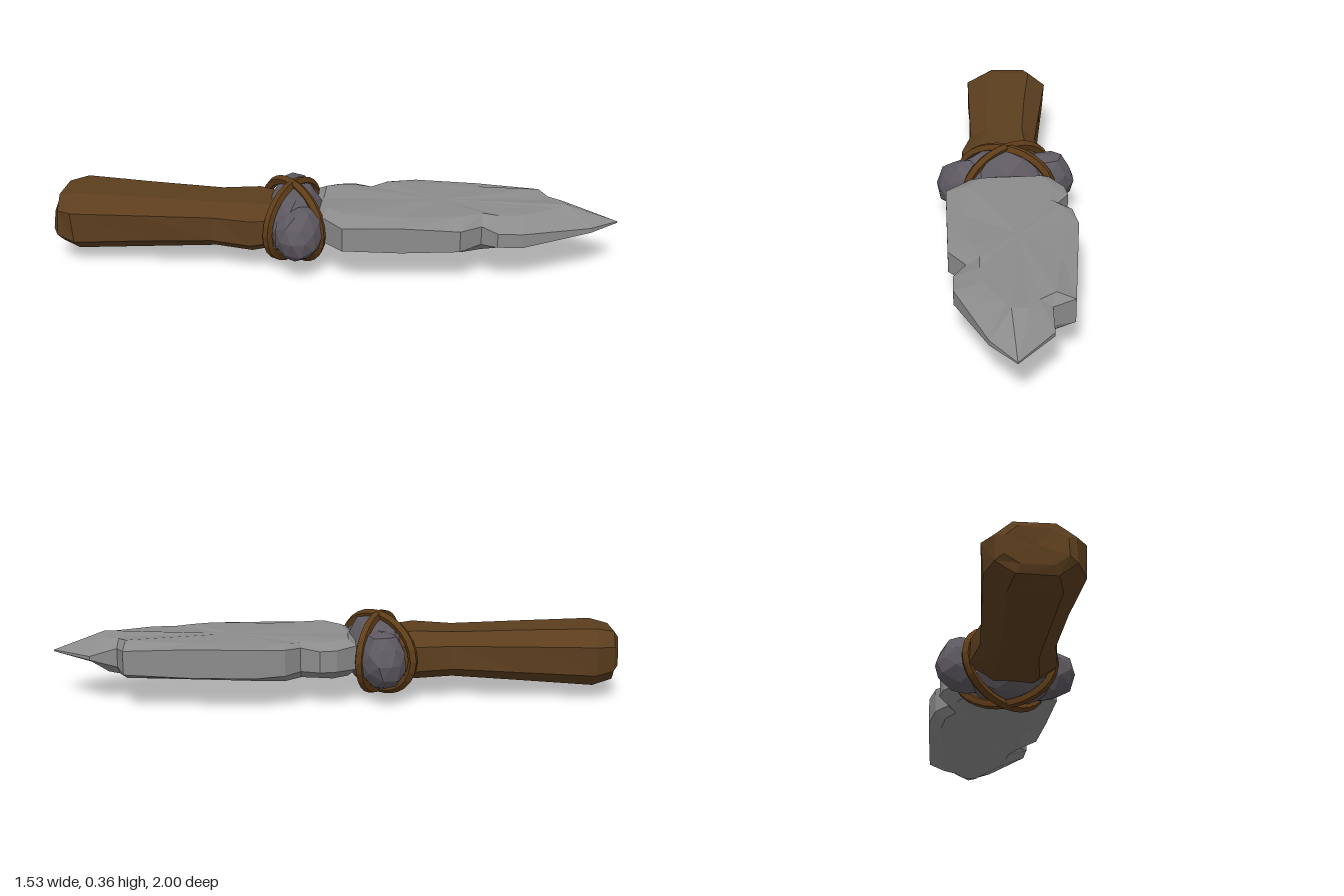
import * as THREE from 'three';

const mat = (name, color) => Object.assign(new THREE.MeshStandardMaterial({ color, flatShading: true }), { name });

// Repeatable roughness in -1..1
const rough = (a, b, c) => {
  const n = Math.sin(a * 127.1 + b * 311.7 + c * 74.7) * 43758.5453;
  return (n - Math.floor(n)) * 2 - 1;
};

// Faceted skin through matching rings (counterclockwise about the direction of travel), fan capped
function loft(rings) {
  const out = [];
  const tri = (...ps) => ps.forEach((p) => out.push(p.x, p.y, p.z));
  const n = rings[0].length;
  for (let r = 0; r < rings.length - 1; r++) {
    for (let i = 0; i < n; i++) {
      const j = (i + 1) % n;
      const [a, b, c, d] = [rings[r][i], rings[r][j], rings[r + 1][j], rings[r + 1][i]];
      tri(a, b, c);
      tri(a, c, d);
    }
  }
  [rings[0], rings[rings.length - 1]].forEach((ring, end) => {
    const mid = ring.reduce((s, p) => s.add(p), new THREE.Vector3()).divideScalar(n);
    for (let i = 0; i < n; i++) {
      const a = ring[i], b = ring[(i + 1) % n];
      end ? tri(mid, a, b) : tri(mid, b, a);
    }
  });
  const g = new THREE.BufferGeometry();
  g.setAttribute('position', new THREE.Float32BufferAttribute(out, 3));
  g.computeVertexNormals();
  return g;
}

// Chipped blade: x, z, half height of the edge wall, inset of the flat face
const OUTLINE = [
  [-0.12, 0.08, 0.055, 0.25], [-0.15, 0.22, 0.05, 0.3], [0.0, 0.41, 0.055, 0.3], [0.15, 0.6, 0.045, 0.35],
  [0.26, 0.63, 0.04, 0.3], [0.26, 0.71, 0.03, 0.45], [0.32, 0.79, 0.03, 0.5], [0.6, 0.95, 0.01, 0.8],
  [0.75, 0.99, 0.003, 0.75], [0.76, 0.77, 0.008, 0.55], [0.69, 0.68, 0.04, 0.3], [0.74, 0.6, 0.05, 0.3],
  [0.6, 0.37, 0.06, 0.25], [0.46, 0.14, 0.06, 0.22], [0.37, 0.05, 0.055, 0.2], [0.29, 0.03, 0.05, 0.2],
  [0.28, -0.06, 0.045, 0.3], [0.23, -0.11, 0.045, 0.3], [0.13, -0.14, 0.05, 0.25], [0.0, -0.04, 0.055, 0.2],
];
function bladeGeometry() {
  const spine = new THREE.Line3(new THREE.Vector3(0.1, 0.2, 0.05), new THREE.Vector3(0.56, 0.2, 0.77));
  const wall = (s) => OUTLINE.map(([x, z, h]) => new THREE.Vector3(x, 0.205 + s * h, z));
  const face = (s) => OUTLINE.map(([x, z, , t]) => {
    const p = new THREE.Vector3(x, 0.2, z);
    p.lerp(spine.closestPointToPoint(p, true, new THREE.Vector3()), t);
    p.y = 0.198 + s * (0.078 + 0.007 * rough(x, z, s)) + 0.012 * (z - 0.2);
    return p;
  });
  return loft([face(-1), wall(-1), wall(1), face(1)]);
}

// Tapered, roughly octagonal handle: distance along, half width, half height, centre height
function handleGeometry() {
  const along = new THREE.Vector3(0.555, 0, 0.832), across = new THREE.Vector3(0.832, 0, -0.555);
  const section = [[1, -0.5], [1, 0.5], [0.58, 1], [-0.5, 1], [-1, 0.55], [-1, -0.5], [-0.55, -1], [0.5, -1]];
  const stations = [
    [-0.075, 0.115, 0.075, 0.185], [-0.055, 0.145, 0.105, 0.182], [0.02, 0.187, 0.125, 0.18],
    [0.32, 0.168, 0.112, 0.184], [0.62, 0.15, 0.098, 0.188], [0.78, 0.182, 0.105, 0.188], [0.9, 0.14, 0.09, 0.19],
  ];
  return loft(stations.map(([s, w, h, y], k) => section.map(([u, v], i) =>
    new THREE.Vector3(-0.615, y, -0.88)
      .addScaledVector(along, s + 0.008 * rough(i, k, 1))
      .addScaledVector(across, u * w * (1 + 0.03 * rough(i, k, 2)))
      .add(new THREE.Vector3(0, v * h, 0)))));
}

// Rough boulder with chipped facets
function stone(size, pos, turn, seed) {
  const g = new THREE.IcosahedronGeometry(1, 1);
  const p = g.attributes.position, v = new THREE.Vector3();
  for (let i = 0; i < p.count; i++) {
    v.fromBufferAttribute(p, i);
    const r = [v.x, v.y, v.z].map((c) => Math.round(c * 100) / 100 + seed);
    v.multiplyScalar(1 + 0.06 * rough(...r)).multiply(new THREE.Vector3(...size));
    p.setXYZ(i, v.x, v.y, v.z);
  }
  g.rotateY(turn).translate(...pos);
  g.computeVertexNormals();
  return g;
}

// Upright oval loop of hide strap in the plane of direction (dx, dz)
function strap(dx, dz, length, height) {
  const pts = [];
  for (let i = 0; i < 12; i++) {
    const a = (i / 12) * Math.PI * 2, k = Math.cos(a) * length;
    pts.push(new THREE.Vector3(-0.075 + dx * k, 0.185 + Math.sin(a) * height, -0.115 + dz * k));
  }
  return new THREE.TubeGeometry(new THREE.CatmullRomCurve3(pts, true), 28, 0.021, 5, true);
}

export function createModel() {
  const model = new THREE.Group();
  model.name = 'stoneKnife';
  const wood = mat('wood', 0x5c3e1e);
  const hide = mat('hide', 0x5e3c18);
  const flint = mat('flint', 0x8c8c8c);
  const darkStone = mat('darkStone', 0x5f5a62);
  const add = (name, geometry, material) => {
    const mesh = new THREE.Mesh(geometry, material);
    mesh.name = name;
    model.add(mesh);
  };

  add('blade', bladeGeometry(), flint);
  add('handle', handleGeometry(), wood);

  // Guard stones
  add('guardStoneMiddle', stone([0.23, 0.155, 0.135], [-0.08, 0.188, -0.1], 0.765, 1), darkStone);
  add('guardStoneLeft', stone([0.13, 0.125, 0.095], [0.06, 0.19, -0.22], 0.9, 2), darkStone);
  add('guardStoneRight', stone([0.14, 0.12, 0.1], [-0.185, 0.19, 0.015], 0.5, 3), darkStone);

  // Crossed bindings
  add('strapAcross', strap(0.98, -0.2, 0.215, 0.157), hide);
  add('strapAlong', strap(0.29, -0.957, 0.225, 0.16), hide);
  return model;
}
